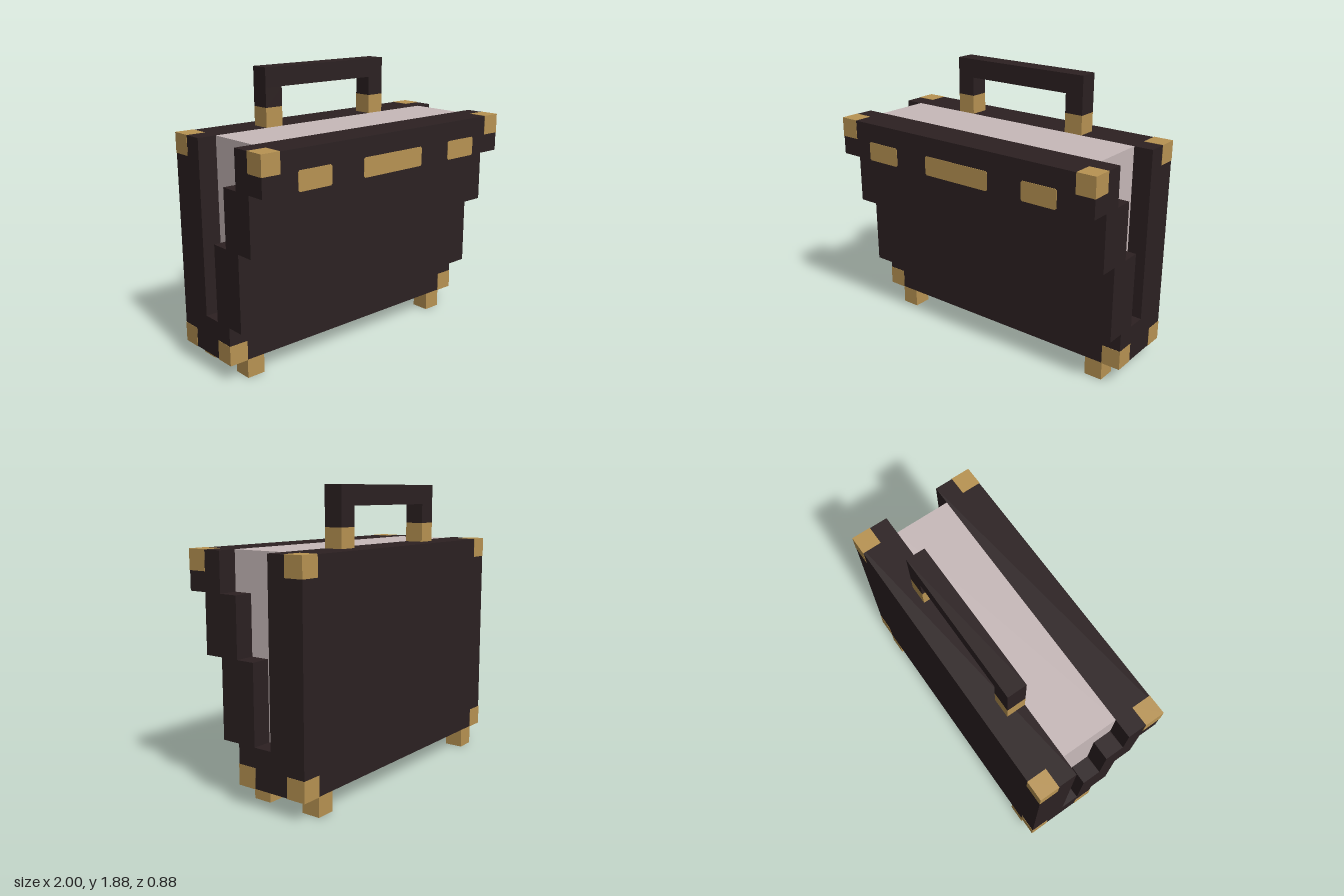
import * as THREE from 'three';

const U = 0.125; // one block
const leather = new THREE.MeshStandardMaterial({ color: 0x2c2122 });
leather.name = 'dark leather';
const brass = new THREE.MeshStandardMaterial({ color: 0xb99453 });
brass.name = 'brass';
const paper = new THREE.MeshStandardMaterial({ color: 0xc8baba });
paper.name = 'paper';

export function createModel() {
  const group = new THREE.Group();

  const add = (name, geometry, material, x = 0, y = 0, z = 0) => {
    const mesh = new THREE.Mesh(geometry, material);
    mesh.name = name;
    mesh.position.set(x, y, z);
    group.add(mesh);
    return mesh;
  };

  // Box given by centre and size; grow lifts it just clear of the leather
  const box = (name, material, x, y, z, w, h, d, grow = 0) =>
    add(name, new THREE.BoxGeometry(w + grow, h + grow, d + grow), material, x, y, z);

  // Side profile in (z, y), extruded across the width
  const slab = (name, material, points, width) => {
    const shape = new THREE.Shape(points.map(([z, y]) => new THREE.Vector2(z, y)));
    const geo = new THREE.ExtrudeGeometry(shape, { depth: width, bevelEnabled: false });
    geo.translate(0, 0, -width / 2).rotateY(-Math.PI / 2);
    return add(name, geo, material);
  };

  // Case: upright back, base and a front that steps outward
  slab('caseShell', leather, [
    [-0.4375, 0.125], [0.0625, 0.125], [0.0625, 0.375], [0.1875, 0.375],
    [0.1875, 0.875], [0.3125, 0.875], [0.3125, 1.25], [0.4375, 1.25],
    [0.4375, 1.5], [0.1875, 1.5], [0.1875, 1.25], [0.0625, 1.25],
    [0.0625, 0.875], [-0.0625, 0.875], [-0.0625, 0.375], [-0.1875, 0.375],
    [-0.1875, 1.5], [-0.4375, 1.5],
  ], 2);

  // Contents filling the opening, inset at both ends
  slab('paperStack', paper, [
    [-0.1875, 0.375], [-0.0625, 0.375], [-0.0625, 0.875], [0.0625, 0.875],
    [0.0625, 1.25], [0.1875, 1.25], [0.1875, 1.5], [-0.1875, 1.5],
  ], 1.75);

  for (const side of [-1, 1]) {
    // Corner caps
    for (const [y, z] of [[1.4375, 0.375], [1.4375, -0.375], [0.1875, 0], [0.1875, -0.375]]) {
      box('cornerCap', brass, side * 0.9375, y, z, U, U, U, 0.004);
    }
    // Feet
    for (const z of [0, -0.375]) box('foot', brass, side * 0.8125, U / 2, z, U, U, U);
    // Handle posts
    box('handleMount', brass, side * 0.4375, 1.5625, -0.25, U, U, U);
    box('handlePost', leather, side * 0.4375, 1.6875, -0.25, U, U, U);
  }
  box('handleGrip', leather, 0, 1.8125, -0.25, 1, U, U);

  // Clasps: thin plates with clipped corners
  const clasp = (x, width) => {
    const a = width / 2, b = U / 2, c = 0.01;
    const shape = new THREE.Shape([
      [-a + c, -b], [a - c, -b], [a, -b + c], [a, b - c],
      [a - c, b], [-a + c, b], [-a, b - c], [-a, -b + c],
    ].map(([px, py]) => new THREE.Vector2(px, py)));
    const geo = new THREE.ExtrudeGeometry(shape, { depth: 0.004, bevelEnabled: false });
    add('clasp', geo, brass, x, 1.3125, 0.4365);
  };
  clasp(-0.625, 0.25);
  clasp(0, 0.5);
  clasp(0.625, 0.25);

  return group;
}
